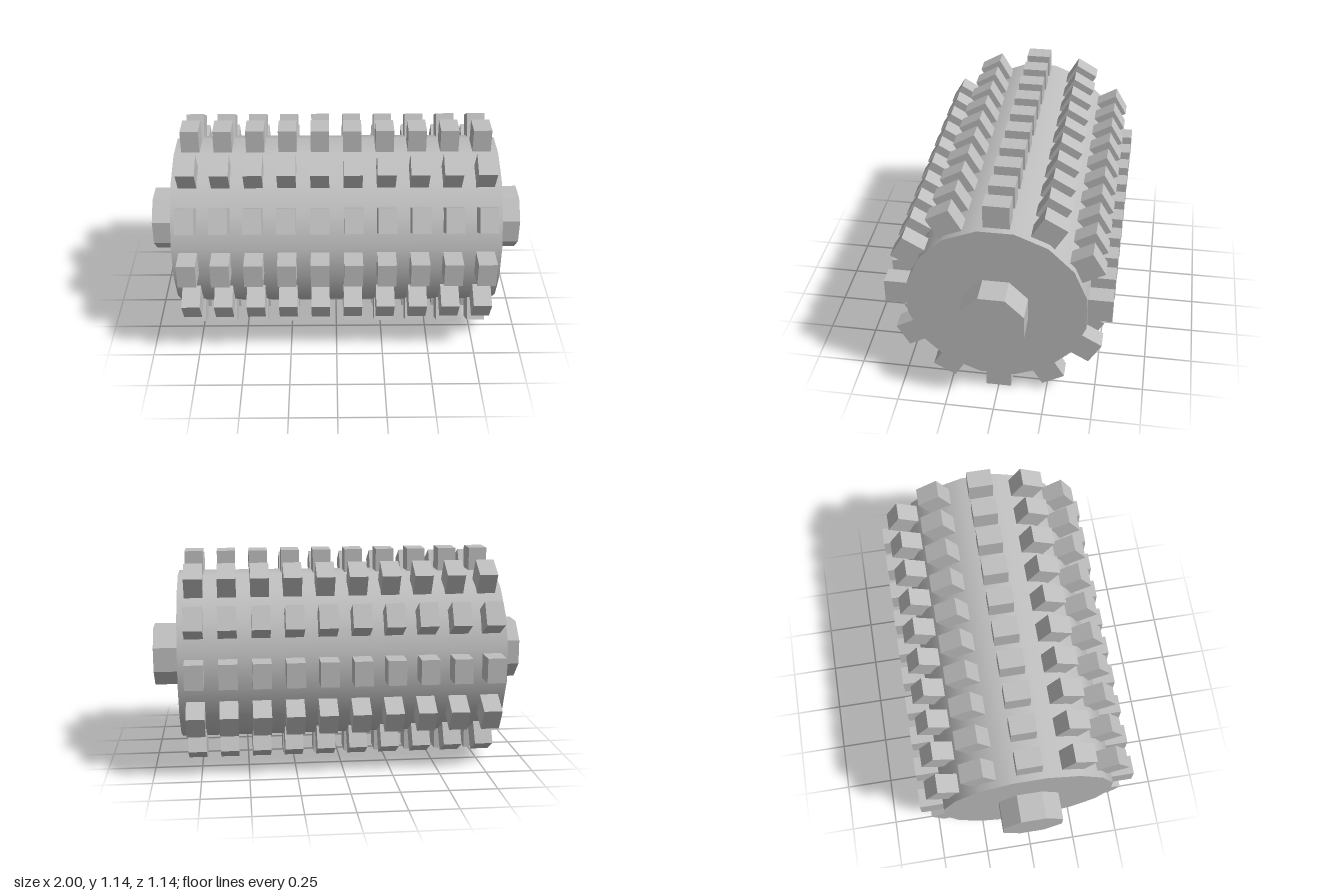
import * as THREE from 'three';

const CENTER_Y = 0.572;

// Cylinder lying along x, turned so that a flat side faces up
function rollerGeometry(apothem, length, sides) {
  const radius = apothem / Math.cos(Math.PI / sides);
  const geo = new THREE.CylinderGeometry(radius, radius, length, sides, 1, false, Math.PI / sides);
  return geo.rotateZ(Math.PI / 2);
}

export function createModel() {
  const model = new THREE.Group();
  model.name = 'toothedRoller';

  const steel = new THREE.MeshStandardMaterial({ color: 0xbfbfbf });
  steel.name = 'light grey';
  const steelFlat = steel.clone();
  steelFlat.flatShading = true;
  steelFlat.name = 'light grey faceted';

  const roller = new THREE.Group();
  roller.name = 'roller';
  roller.position.y = CENTER_Y;
  model.add(roller);

  // Smooth drum
  const drum = new THREE.Mesh(rollerGeometry(0.448, 1.716, 16), steel);
  drum.name = 'drum';
  roller.add(drum);

  // Octagonal axle stubs at both ends
  for (const side of [-1, 1]) {
    const stub = new THREE.Mesh(rollerGeometry(0.158, 0.152, 8), steelFlat);
    stub.name = side > 0 ? 'leftAxle' : 'rightAxle';
    stub.position.x = side * 0.924;
    roller.add(stub);
  }

  // Twelve rows of ten square teeth, rooted inside the drum
  const rows = 12, perRow = 10, pitch = 0.1716;
  const inner = 0.42, outer = 0.571;
  const toothGeo = new THREE.BoxGeometry(0.097, outer - inner, 0.13);
  toothGeo.translate(0, (inner + outer) / 2, 0);
  for (let r = 0; r < rows; r++) {
    const row = new THREE.Group();
    row.name = `toothRow${r + 1}`;
    row.rotation.x = (r / rows) * Math.PI * 2;
    for (let i = 0; i < perRow; i++) {
      const tooth = new THREE.Mesh(toothGeo, steelFlat);
      tooth.name = 'tooth';
      tooth.position.x = (i - (perRow - 1) / 2) * pitch;
      row.add(tooth);
    }
    roller.add(row);
  }
  return model;
}
